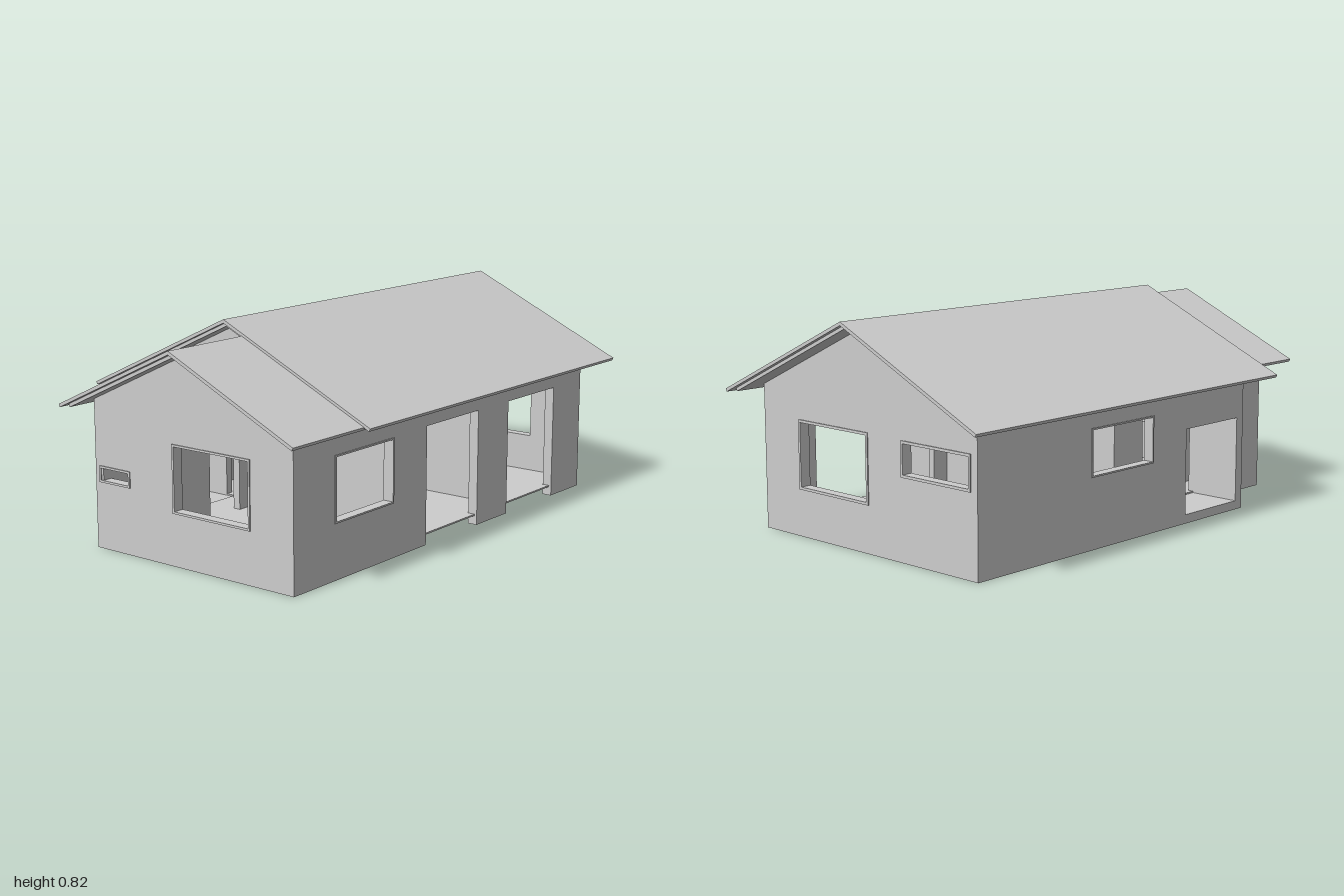
import * as THREE from 'three';

const T = 0.038; // wall thickness
const SLOPE = 0.466;

export function createModel() {
  const house = new THREE.Group();
  house.name = 'house';
  const plaster = new THREE.MeshStandardMaterial({ color: 0xcccccc });

  const add = (name, geo) => {
    const m = new THREE.Mesh(geo, plaster);
    m.name = name;
    house.add(m);
    return m;
  };
  const box = (name, x0, x1, y0, y1, z0, z1) => add(name,
    new THREE.BoxGeometry(x1 - x0, y1 - y0, z1 - z0)
      .translate((x0 + x1) / 2, (y0 + y1) / 2, (z0 + z1) / 2));

  // Outline with rectangular holes [u0, u1, y0, y1], extruded
  const panel = (pts, holes, depth) => {
    const s = new THREE.Shape(pts.map(p => new THREE.Vector2(...p)));
    for (const [a, b, c, d] of holes) {
      s.holes.push(new THREE.Path([[a, c], [a, d], [b, d], [b, c]].map(p => new THREE.Vector2(...p))));
    }
    return new THREE.ExtrudeGeometry(s, { depth, bevelEnabled: false });
  };
  // Wall running along x, from z0 to z0 + depth
  const wallX = (name, pts, holes, z0, depth = T) =>
    add(name, panel(pts, holes, depth).translate(0, 0, z0));
  // Wall running along z, from x0 to x0 + depth
  const wallZ = (name, pts, holes, x0, depth = T) =>
    add(name, panel(pts, holes, depth).rotateY(-Math.PI / 2).translate(x0 + depth, 0, 0));

  // Slim frame lining a window opening
  const ring = ([a, b, c, d], w) => [
    [[a, c], [b, c], [b, d], [a, d]], [[a + w, b - w, c + w, d - w]],
  ];

  // Front wall with two door notches and a window
  const frontWindow = [-0.705, -0.375, 0.2, 0.435];
  wallX('frontWall', [
    [-0.92, 0], [-0.175, 0], [-0.175, 0.44], [0.155, 0.44], [0.155, 0],
    [0.36, 0], [0.36, 0.44], [0.69, 0.44], [0.69, 0], [0.895, 0],
    [0.895, 0.54], [-0.92, 0.535],
  ], [frontWindow], 0.555 - T);
  wallX('frontWindowFrame', ...ring(frontWindow, 0.006), 0.555 - T, T + 0.004);

  // Back wall with a window and the porch opening at its end
  const backWindow = [-0.005, 0.335, 0.262, 0.437];
  wallX('backWall', [
    [-0.2, 0], [0.895, 0], [0.895, 0.545], [-0.55, 0.545], [-0.55, 0.36], [-0.2, 0.36],
  ], [backWindow], -0.545);
  wallX('backWindowFrame', ...ring(backWindow, 0.006), -0.549, T + 0.004);

  // Gable ends
  const roofY = (z, ridgeZ, ridgeY) => ridgeY - 0.024 - SLOPE * Math.abs(z - ridgeZ);
  const gable = (z0, z1, rz, ry, base) => [
    [z0, base], [z1, base], [z1, roofY(z1, rz, ry)], [rz, roofY(rz, rz, ry)], [z0, roofY(z0, rz, ry)],
  ];
  const leftWindows = [[-0.012, 0.36, 0.175, 0.432], [-0.515, -0.18, 0.3, 0.428]];
  wallZ('leftGableWall', gable(-0.545, 0.555, 0, 0.825, 0), leftWindows, 0.895 - T);
  for (const w of leftWindows) wallZ('leftWindowFrame', ...ring(w, 0.01), 0.895 - T, T + 0.004);

  const rightWindows = [[0.02, 0.37, 0.19, 0.435], [-0.335, -0.185, 0.245, 0.305]];
  wallZ('rightGableWall', gable(-0.355, 0.555, 0.085, 0.775, 0), rightWindows, -0.92);
  for (const w of rightWindows) wallZ('rightWindowFrame', ...ring(w, 0.008), -0.924, T + 0.004);

  // Step between the main house and the narrower wing
  wallZ('upperGableWall', gable(-0.545, 0.555, 0, 0.825, 0.5), [], -0.55);
  box('porchEndWall', -0.55, -0.55 + T, 0, 0.52, -0.545, -0.355);
  box('wingBackWall', -0.92, -0.55 + T, 0, 0.54, -0.355, -0.355 + T);

  // Interior partitions: x0, x1, z0, z1
  const partitions = [
    [0.33, 0.36, -0.03, 0.53], [0.51, 0.536, -0.22, -0.02], [0.51, 0.6, -0.03, -0.005],
    [0.51, 0.536, -0.52, -0.42], [0.536, 0.66, -0.445, -0.42],
    [-0.29, -0.26, 0.1, 0.53], [-0.26, -0.18, 0.1, 0.13],
    [-0.2, -0.02, -0.08, -0.05], [-0.2, -0.17, -0.2, -0.05], [-0.34, -0.17, -0.22, -0.19],
    [-0.2, -0.17, -0.52, -0.38], [-0.9, -0.515, -0.21, -0.18],
  ];
  for (const [x0, x1, z0, z1] of partitions) box('partitionWall', x0, x1, 0, 0.52, z0, z1);

  // Raised thin floor, and the porch slab
  box('mainFloor', -0.2, 0.88, 0.034, 0.04, -0.53, 0.545);
  box('wingFloor', -0.905, -0.2, 0.034, 0.04, -0.34, 0.545);
  box('porchFloor', -0.55 + T, -0.2, 0, 0.034, -0.545, -0.34);

  // Gabled roofs, each an upper slab over a slightly smaller lower one
  const roof = (name, x0, x1, rz, ry, half, t) => {
    const c = Math.hypot(1, SLOPE), e = t * SLOPE / c, ey = ry - SLOPE * half;
    wallZ(name, [
      [rz - half, ey], [rz - half + e, ey - t / c], [rz, ry - t * c],
      [rz + half - e, ey - t / c], [rz + half, ey], [rz, ry],
    ], [], x0, x1 - x0);
  };
  roof('mainRoof', -0.63, 1, 0, 0.825, 0.645, 0.012);
  roof('mainRoofUnderlay', -0.615, 0.98, 0, 0.8118, 0.61, 0.012);
  roof('wingRoof', -1, -0.54, 0.085, 0.775, 0.535, 0.012);
  roof('wingRoofUnderlay', -0.98, -0.54, 0.085, 0.7618, 0.505, 0.012);

  return house;
}
